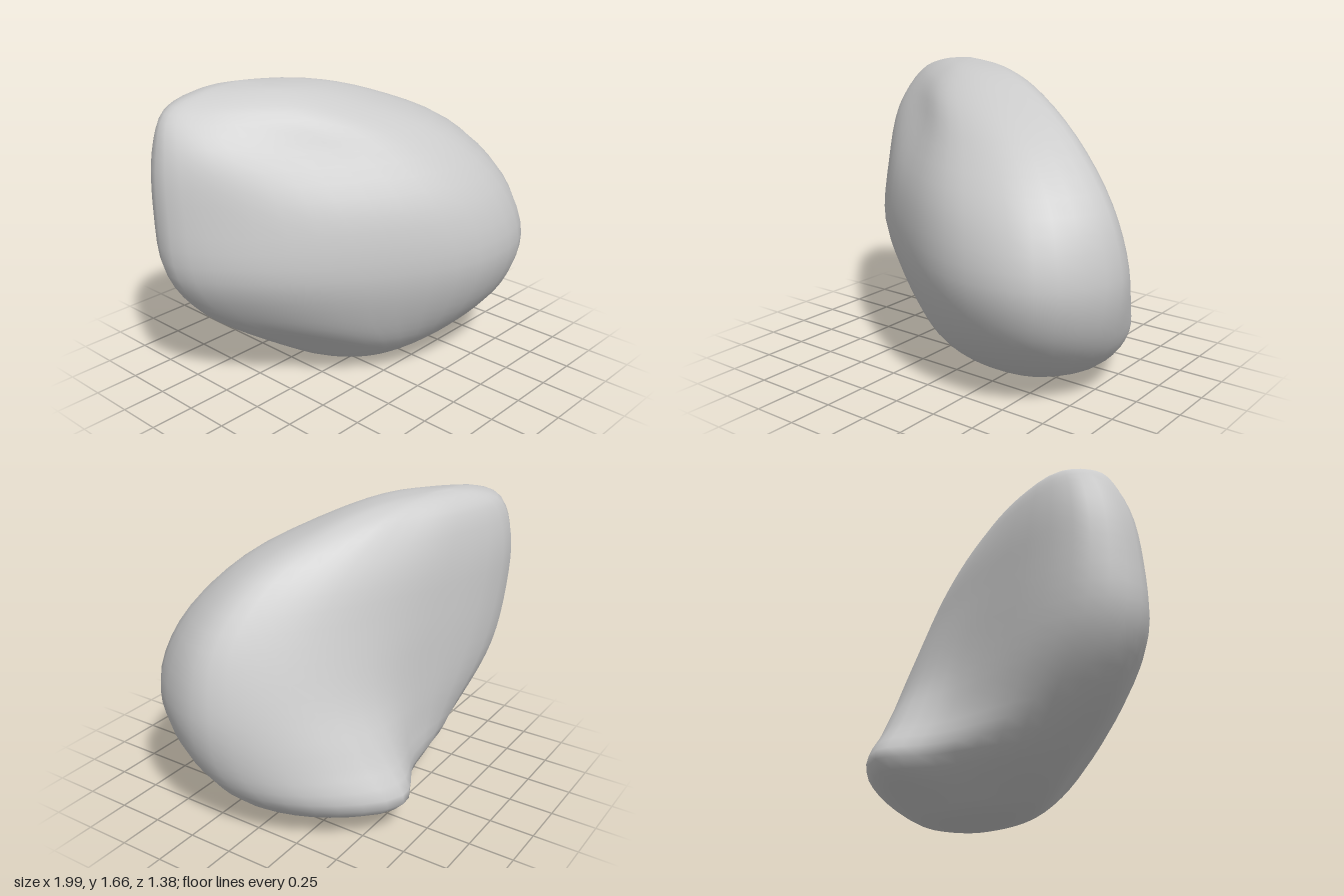
import * as THREE from 'three';
import { mergeVertices } from 'three/addons/utils/BufferGeometryUtils.js';

const AROUND = 40, UP = 40;

// Horizontal cross-sections from the bottom up: height, then [x, z] points running
// left end, along the front, right end, then along the hollow back.
const slices = [
  { y: 0.06, p: [[-.19, -.1], [-.1, .07], [.05, .18], [.24, .22], [.47, .18], [.62, 0], [.58, -.2], [.42, -.36], [.13, -.35], [-.11, -.24]] },
  { y: 0.22, p: [[-.48, -.22], [-.32, .05], [-.07, .32], [.25, .43], [.62, .38], [.84, .1], [.73, -.36], [.41, -.69], [.13, -.57], [-.32, -.46]] },
  { y: 0.45, p: [[-.79, -.35], [-.64, -.05], [-.23, .35], [.28, .6], [.72, .56], [.96, .2], [.81, -.24], [.42, -.57], [.05, -.54], [-.5, -.56]] },
  { y: 0.72, p: [[-.97, -.41], [-.79, -.05], [-.3, .38], [.29, .68], [.77, .62], [1, .2], [.79, -.17], [.44, -.42], [0, -.52], [-.68, -.63]] },
  { y: 1.05, p: [[-.99, -.43], [-.81, -.11], [-.36, .29], [.22, .6], [.68, .54], [.91, .2], [.73, -.08], [.37, -.35], [-.12, -.54], [-.76, -.66]] },
  { y: 1.35, p: [[-.95, -.46], [-.81, -.21], [-.4, .08], [.04, .34], [.42, .34], [.64, .11], [.48, -.14], [.17, -.38], [-.24, -.56], [-.76, -.665]] },
  { y: 1.55, p: [[-.85, -.5], [-.75, -.35], [-.51, -.14], [-.22, .03], [.05, .04], [.24, -.09], [.15, -.26], [-.05, -.4], [-.33, -.54], [-.7, -.62]] },
];
const bottomPole = new THREE.Vector3(0.21, 0, -0.09);
const topPole = new THREE.Vector3(-0.41, 1.66, -0.41);

// Smooth closed ring through one cross-section
function ring({ y, p }) {
  const curve = new THREE.CatmullRomCurve3(p.map(([x, z]) => new THREE.Vector3(x, y, z)), true);
  return Array.from({ length: AROUND }, (_, j) => curve.getPoint(j / AROUND));
}

// Ring shrunk towards a pole, to round off an end
function capRing(source, pole, amount, y) {
  return source.map((v) => v.clone().lerp(pole, amount).setY(y));
}

function bodyGeometry() {
  const rings = slices.map(ring);
  const first = rings[0], last = rings[rings.length - 1];
  const all = [
    first.map(() => bottomPole), capRing(first, bottomPole, 0.4, 0.014),
    ...rings,
    capRing(last, topPole, 0.45, 1.632), last.map(() => topPole),
  ];

  // Smooth columns through all the rings
  const positions = [], index = [];
  const columns = first.map((_, j) => new THREE.CatmullRomCurve3(all.map((r) => r[j])));
  for (let i = 0; i <= UP; i++) {
    for (const column of columns) positions.push(...column.getPoint(i / UP).toArray());
  }
  for (let i = 0; i < UP; i++) {
    for (let j = 0; j < AROUND; j++) {
      const a = i * AROUND + j, b = i * AROUND + (j + 1) % AROUND;
      const c = a + AROUND, d = b + AROUND;
      if (i > 0) index.push(a, b, c);
      if (i < UP - 1) index.push(b, d, c);
    }
  }
  const geometry = new THREE.BufferGeometry();
  geometry.setAttribute('position', new THREE.Float32BufferAttribute(positions, 3));
  geometry.setIndex(index);
  const merged = mergeVertices(geometry, 1e-4);
  merged.computeVertexNormals();
  return merged;
}

export function createModel() {
  const group = new THREE.Group();
  const body = new THREE.Mesh(bodyGeometry(), new THREE.MeshStandardMaterial({ color: 0xcccccc }));
  body.name = 'foldedBody';
  group.add(body);
  return group;
}
